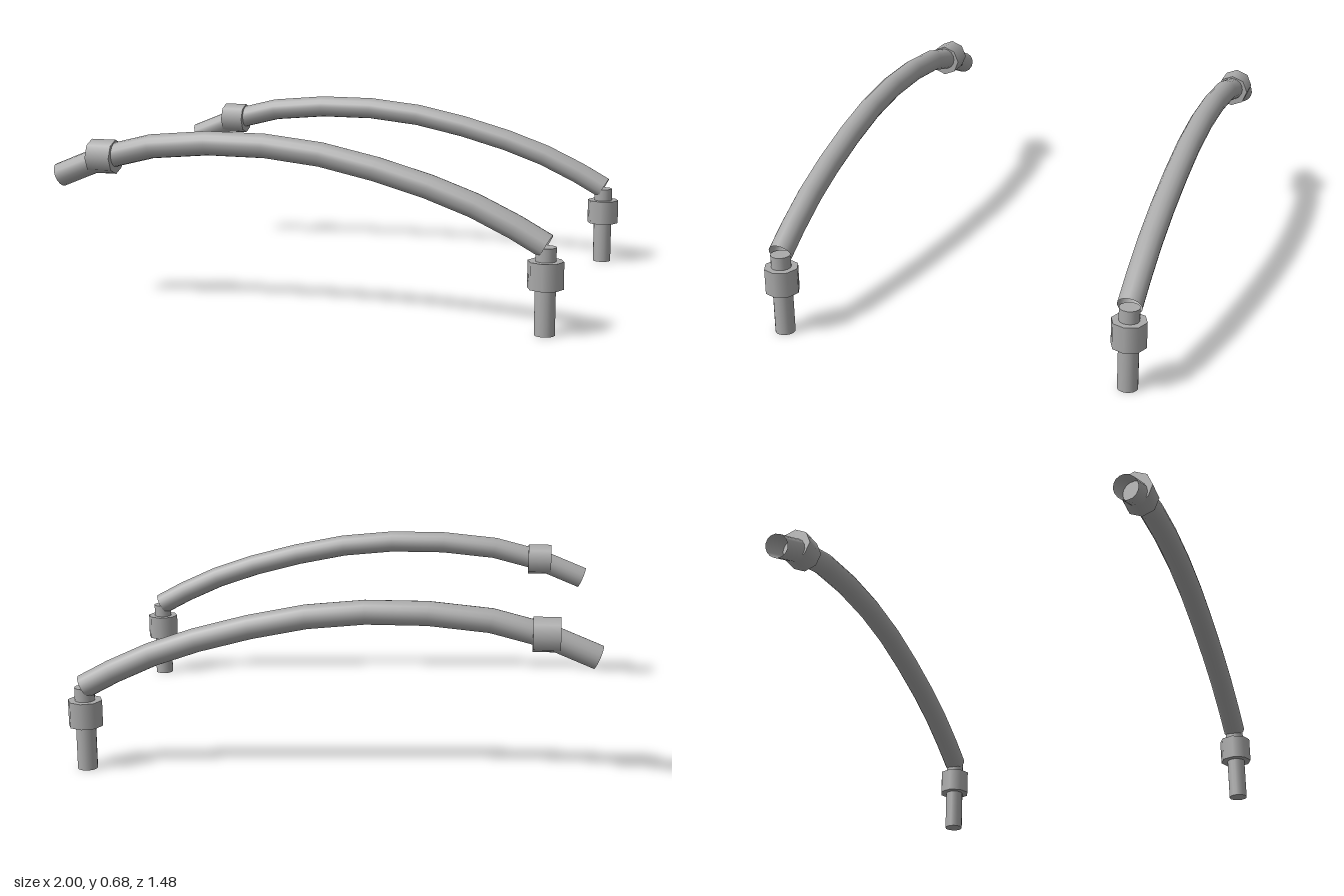
import * as THREE from 'three';

export function createModel() {
  const model = new THREE.Group();
  const grey = new THREE.MeshStandardMaterial({ color: 0xaaaaaa, side: THREE.DoubleSide });
  grey.name = 'grey';

  // Arched centre line, one point per hose ring
  const path = new THREE.CatmullRomCurve3([
    [-0.98, 0.49], [-0.79, 0.567], [-0.59, 0.617], [-0.36, 0.638], [-0.13, 0.637], [0.09, 0.614],
    [0.3, 0.57], [0.5, 0.515], [0.67, 0.455], [0.82, 0.385], [0.933, 0.323],
  ].map(([x, y]) => new THREE.Vector3(x, y, 0)));
  // Keep the rings on the points instead of spacing them evenly
  path.getPointAt = (t, target) => path.getPoint(t, target);
  path.getTangentAt = (t, target) => path.getTangent(t, target);

  const hoseGeometry = new THREE.TubeGeometry(path, 10, 0.046, 16, false);
  const postGeometry = new THREE.CylinderGeometry(0.038, 0.038, 0.32, 16);
  const collarGeometry = new THREE.CylinderGeometry(0.066, 0.066, 0.1, 8);

  function add(group, name, geometry, x, y) {
    const mesh = new THREE.Mesh(geometry, grey);
    mesh.name = name;
    mesh.position.set(x, y, 0);
    group.add(mesh);
    return mesh;
  }

  // Two identical pipes, front and back
  for (const side of [1, -1]) {
    const pipe = new THREE.Group();
    pipe.name = side > 0 ? 'frontPipe' : 'backPipe';
    pipe.position.z = side * 0.675;
    add(pipe, 'hose', hoseGeometry, 0, 0);
    add(pipe, 'post', postGeometry, 0.932, 0.16);
    add(pipe, 'postCollar', collarGeometry, 0.932, 0.22);
    add(pipe, 'hoseCollar', collarGeometry, -0.791, 0.57).rotation.z = Math.PI / 2;
    model.add(pipe);
  }
  return model;
}
